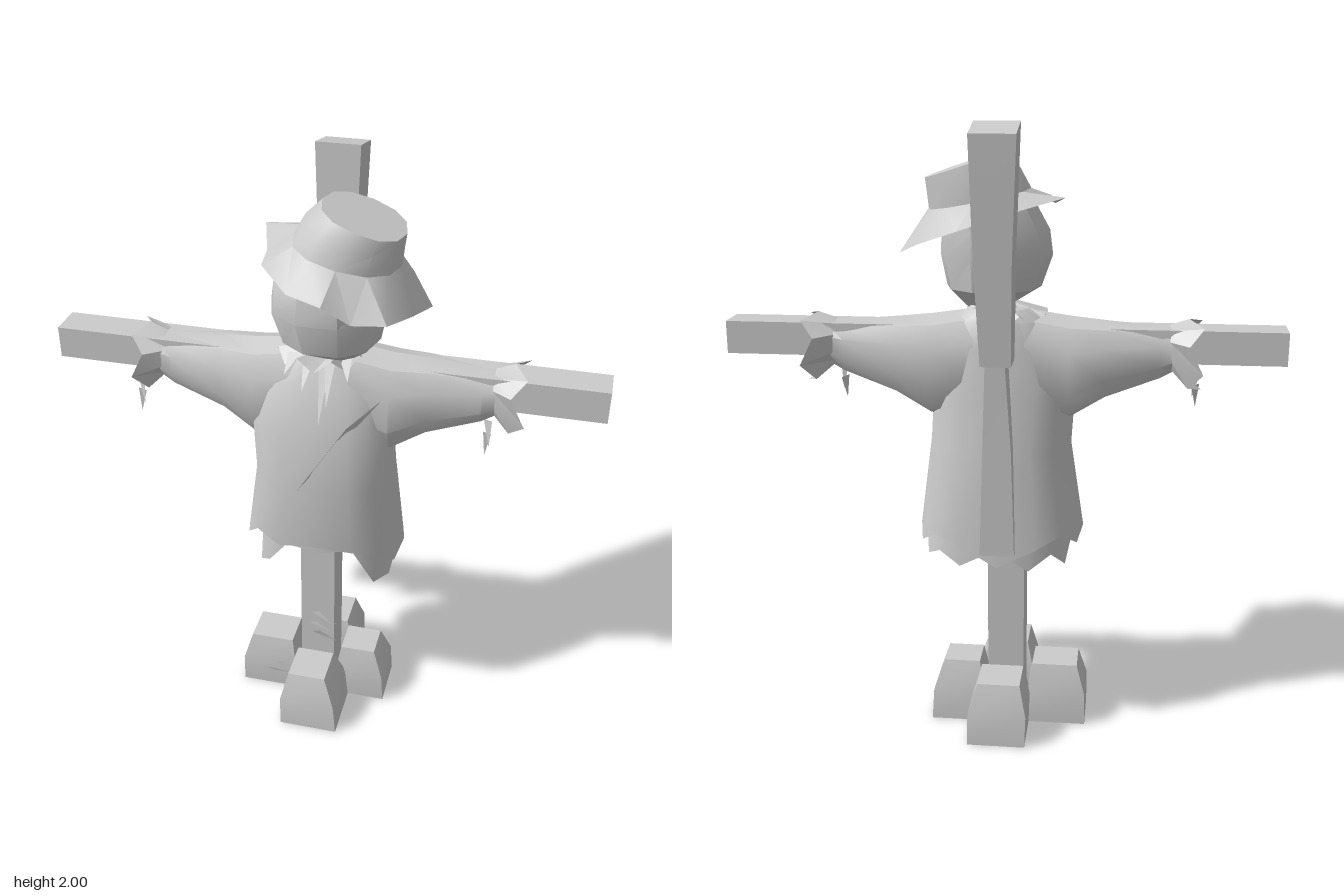
import * as THREE from 'three';
import { toCreasedNormals } from 'three/addons/utils/BufferGeometryUtils.js';

const material = new THREE.MeshStandardMaterial({ color: 0xcccccc, side: THREE.DoubleSide });

// Skin a stack of equal-sized rings of [x, y, z], with optional end caps.
function loft(name, rings, { bottom = true, top = true, crease = 0.6 } = {}) {
  const n = rings[0].length, pos = rings.flat(2), index = [];
  for (let r = 0; r < rings.length - 1; r++) {
    for (let i = 0; i < n; i++) {
      const a = r * n + i, b = r * n + (i + 1) % n;
      index.push(a, a + n, b, b, a + n, b + n);
    }
  }
  const cap = (r, isTop) => {
    const c = pos.length / 3;
    for (let k = 0; k < 3; k++) pos.push(rings[r].reduce((s, p) => s + p[k], 0) / n);
    for (let i = 0; i < n; i++) {
      const a = r * n + i, b = r * n + (i + 1) % n;
      if (isTop) index.push(c, b, a); else index.push(c, a, b);
    }
  };
  if (bottom) cap(0, false);
  if (top) cap(rings.length - 1, true);
  const g = new THREE.BufferGeometry();
  g.setAttribute('position', new THREE.Float32BufferAttribute(pos, 3));
  g.setIndex(index);
  const mesh = new THREE.Mesh(toCreasedNormals(g, crease), material);
  mesh.name = name;
  return mesh;
}

const soft = (v, p) => Math.sign(v) * Math.abs(v) ** p;

// Level ring within x0..x1 and z0..z1; power below 1 squares it off.
function ring(n, y, x0, x1, z0, z1, power = 1, yOffset = () => 0) {
  return Array.from({ length: n }, (_, i) => {
    const a = i / n * Math.PI * 2;
    const x = (x0 + x1) / 2 + soft(Math.cos(a), power) * (x1 - x0) / 2;
    const z = (z0 + z1) / 2 + soft(Math.sin(a), power) * (z1 - z0) / 2;
    return [x, y + yOffset(i, x, z), z];
  });
}

const rect = (y, x0, x1, z0, z1) => [[x1, y, z0], [x1, y, z1], [x0, y, z1], [x0, y, z0]];

// Thin scraps of cloth or straw, one triangle each.
function scraps(name, triangles) {
  const g = new THREE.BufferGeometry();
  g.setAttribute('position', new THREE.Float32BufferAttribute(triangles.flat(2), 3));
  g.computeVertexNormals();
  const mesh = new THREE.Mesh(g, material);
  mesh.name = name;
  return mesh;
}

function addFrame(group) {
  group.add(loft('lowerPost', [rect(0.01, -0.08, 0.04, -0.1, 0.02), rect(0.9, -0.08, 0.04, -0.1, 0.02)], { crease: 0.2 }));
  const top = rect(1.99, -0.07, 0.07, -0.3, -0.16);
  top.forEach(p => { p[1] = p[2] < -0.2 ? 1.97 : 2; });
  group.add(loft('upperPost', [
    rect(1.28, -0.05, 0.045, -0.25, -0.13), rect(1.6, -0.055, 0.06, -0.275, -0.145), top], { crease: 0.2 }));

  const bar = new THREE.Mesh(new THREE.BoxGeometry(1.77, 0.105, 0.115), material);
  bar.name = 'crossbar';
  bar.position.set(-0.005, 1.32, -0.04);
  group.add(bar);

  // Four tapered blocks wedged around the post: base and top extents.
  const blocks = [
    [[-0.1, 0.1, 0.04, 0.25], [-0.08, 0.05, 0.07, 0.21]],
    [[-0.1, 0.09, -0.29, -0.1], [-0.08, 0.06, -0.25, -0.11]],
    [[0.06, 0.23, -0.13, 0.05], [0.07, 0.19, -0.09, 0.03]],
    [[-0.29, -0.1, -0.12, 0.06], [-0.26, -0.11, -0.09, 0.04]],
  ];
  for (const [b, t] of blocks) {
    const mid = b.map((v, i) => v * 0.55 + t[i] * 0.45 + (i % 2 ? 0.012 : -0.012));
    group.add(loft('footBlock', [rect(0.005, ...b), rect(0.11, ...mid), rect(0.208, ...t)], { crease: 0.4 }));
  }
}

function addCoat(group) {
  // Inner ragged shirt tail, then the coat over it.
  const tail = [0.02, -0.07, -0.08, 0.06, 0.04, 0.05, -0.05, -0.09, -0.01, -0.07, -0.02, -0.07, 0, -0.06, -0.02, -0.05];
  group.add(loft('shirtTail', [
    ring(16, 0.66, -0.23, 0.25, -0.2, 0.13, 0.8, i => tail[i]),
    ring(16, 0.9, -0.2, 0.21, -0.18, 0.13, 0.8),
  ], { bottom: false, top: false }));
  const hem = [0, -0.03, 0.02, 0.04, 0.05, 0.03, 0.06, 0, 0.01, -0.02, 0.02, -0.02, -0.08, -0.01, 0.01, -0.03];
  group.add(loft('coatBody', [
    ring(16, 0.69, -0.27, 0.27, -0.22, 0.155, 0.8, i => hem[i]),
    ring(16, 0.98, -0.225, 0.235, -0.185, 0.165, 0.8),
    ring(16, 1.15, -0.235, 0.225, -0.16, 0.145, 0.8),
    ring(16, 1.3, -0.21, 0.2, -0.145, 0.1, 0.8),
    ring(16, 1.39, -0.15, 0.15, -0.13, 0.055, 0.9),
    ring(16, 1.425, -0.09, 0.1, -0.11, 0.04),
  ], { bottom: false }));
  group.add(loft('backRidge', [
    rect(0.66, -0.06, 0.05, -0.24, -0.15), rect(1, -0.05, 0.04, -0.24, -0.13), rect(1.3, -0.03, 0.03, -0.245, -0.11)]));

  // Sleeve sections: x, low y, high y, back z, front z.
  const sections = [
    [0.08, 1.12, 1.42, -0.14, 0.08], [0.22, 1.07, 1.4, -0.15, 0.085], [0.33, 1.14, 1.39, -0.14, 0.06],
    [0.5, 1.205, 1.375, -0.115, 0.04], [0.55, 1.235, 1.375, -0.11, 0.03],
  ];
  const cuffs = [[0.53, 1.24, 1.38, -0.11, 0.03], [0.61, 1.175, 1.4, -0.15, 0.06]];
  for (const s of [-1, 1]) {
    const section = ([x, y0, y1, z0, z1], jag = 0) => Array.from({ length: 10 }, (_, i) => {
      const a = i / 10 * Math.PI * 2;
      return [s * (x + (i % 2 ? jag : -jag)),
        (y0 + y1) / 2 + soft(Math.cos(a), 0.8) * (y1 - y0) / 2,
        (z0 + z1) / 2 - s * soft(Math.sin(a), 0.8) * (z1 - z0) / 2];
    });
    const side = s > 0 ? 'left' : 'right';
    group.add(loft(side + 'Sleeve', sections.map(c => section(c))));
    group.add(loft(side + 'Cuff', [section(cuffs[0]), section(cuffs[1], 0.022)], { bottom: false, top: false, crease: 0.3 }));
    // Loose threads below the cuff.
    const x = s > 0 ? 0.52 : -0.62;
    group.add(scraps(side + 'CuffThread', [
      [[x - 0.012, 1.22, 0], [x + 0.012, 1.13, 0.02], [x + 0.015, 1.22, 0.01]],
      [[x - 0.01, 1.18, 0.01], [x, 1.1, 0.02], [x + 0.015, 1.17, 0.005]],
    ]));
  }
  // Overlapping fold across the chest.
  group.add(scraps('chestFold', [[[0.2, 1.29, 0.085], [-0.05, 0.97, 0.172], [0.1, 1.2, 0.13]]]));
}

function addHead(group) {
  // Sack head: y, x extents, z extents.
  const head = [
    [1.42, -0.02, 0.12, -0.05, 0.1], [1.48, -0.12, 0.185, -0.115, 0.2], [1.58, -0.155, 0.205, -0.13, 0.22],
    [1.66, -0.145, 0.2, -0.13, 0.215], [1.76, -0.09, 0.2, -0.11, 0.19],
  ];
  group.add(loft('head', head.map(r => ring(10, ...r, 0.9))));

  // Ragged collar with scraps hanging in front.
  group.add(loft('collar', [
    ring(16, 1.385, -0.15, 0.13, -0.13, 0.11, 1, i => i % 2 ? 0.025 : -0.015),
    ring(16, 1.44, -0.04, 0.09, -0.06, 0.05),
  ], { bottom: false, top: false, crease: 0.3 }));
  const rags = [[-0.1, 1.36, 0.12], [-0.04, 1.32, 0.14], [0.02, 1.22, 0.17], [0.04, 1.28, 0.15], [0.1, 1.36, 0.12]];
  group.add(scraps('collarRags', rags.map(([x, y, z]) => [[x * 0.8 - 0.02, 1.41, 0.06], [x, y, z], [x * 0.8 + 0.02, 1.41, 0.06]])));
}

function addHat(group) {
  // Brim edge, walking from the left side past the front.
  const edge = [
    [0.33, 1.585, 0], [0.29, 1.6, 0.11], [0.24, 1.63, 0.25], [0.14, 1.63, 0.27], [0.06, 1.69, 0.3], [-0.05, 1.7, 0.26],
    [-0.14, 1.75, 0.19], [-0.16, 1.74, 0.06], [-0.2, 1.77, -0.07], [-0.04, 1.73, -0.15], [0.12, 1.68, -0.2], [0.25, 1.63, -0.13],
  ];
  const tilt = (slope, bump = 0) => (i, x) => (0.08 - x) * slope + (i % 2 ? bump : 0);
  const base = ring(12, 1.755, -0.085, 0.24, -0.12, 0.195, 0.9, tilt(0.2));
  group.add(loft('hatBrim', [edge, base], { bottom: false, top: false, crease: 0.5 }));
  group.add(loft('hatCrown', [
    base,
    ring(12, 1.82, -0.05, 0.245, -0.115, 0.18, 0.9, tilt(0.25)),
    ring(12, 1.875, 0, 0.25, -0.105, 0.165, 0.9, tilt(0.33)),
  ], { bottom: false }));
}

function addStraw(group) {
  // Short stalks: start and end points.
  const stalks = [
    [[-0.04, 0.35, 0.03], [0.05, 0.33, 0.06]], [[0.06, 0.31, 0.03], [-0.03, 0.36, 0.07]],
    [[-0.05, 0.3, 0.03], [0.04, 0.3, 0.06]], [[-0.04, 0.26, 0.03], [0.06, 0.24, 0.04]],
    [[-0.23, 0.08, 0.07], [-0.07, 0.1, 0.06]], [[-0.29, 0.06, 0.05], [-0.1, 0.08, 0.07]],
    [[-0.17, 0.11, 0.06], [-0.08, 0.06, 0.08]],
  ];
  group.add(scraps('straw', stalks.map(([a, b]) => [a, b, [a[0] * 0.7 + b[0] * 0.3, a[1] + 0.018, a[2] + 0.01]])));
}

export function createModel() {
  const group = new THREE.Group();
  group.name = 'scarecrow';
  addFrame(group);
  addCoat(group);
  addHead(group);
  addHat(group);
  addStraw(group);
  return group;
}
